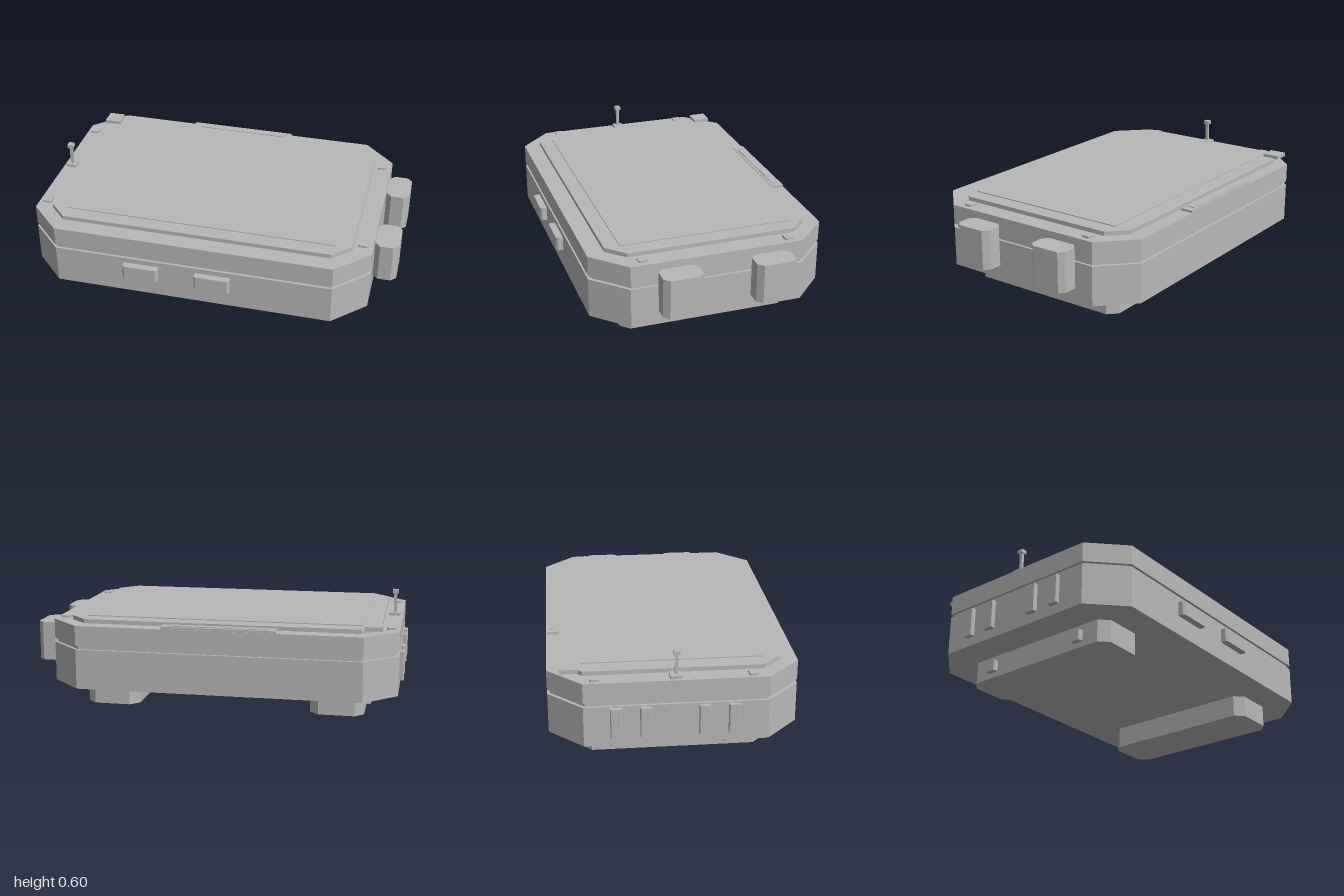
import * as THREE from 'three';

const grey = new THREE.MeshStandardMaterial({ color: 0xb8b8b8 });
grey.name = 'plain grey';

// Upright block with its four vertical corners cut by c
function slab(group, name, [x0, x1], [y0, y1], [z0, z1], c = 0) {
  let geo;
  if (c > 0) {
    const pts = [
      [x0 + c, z1], [x1 - c, z1], [x1, z1 - c], [x1, z0 + c],
      [x1 - c, z0], [x0 + c, z0], [x0, z0 + c], [x0, z1 - c],
    ].map(([x, z]) => new THREE.Vector2(x, -z));
    geo = new THREE.ExtrudeGeometry(new THREE.Shape(pts), { depth: y1 - y0, bevelEnabled: false });
    geo.rotateX(-Math.PI / 2).translate(0, y0, 0);
  } else {
    geo = new THREE.BoxGeometry(x1 - x0, y1 - y0, z1 - z0);
    geo.translate((x0 + x1) / 2, (y0 + y1) / 2, (z0 + z1) / 2);
  }
  const mesh = new THREE.Mesh(geo, grey);
  mesh.name = name;
  group.add(mesh);
}

const around = (c, size) => [c - size / 2, c + size / 2];

export function createModel() {
  const g = new THREE.Group();
  g.name = 'deviceCase';

  // Main case: two shells with a recessed seam
  slab(g, 'lowerShell', [-0.977, 0.872], [0.12, 0.332], [-0.648, 0.613], 0.172);
  slab(g, 'seam', [-0.963, 0.858], [0.332, 0.353], [-0.634, 0.599], 0.168);
  slab(g, 'upperShell', [-0.977, 0.872], [0.353, 0.459], [-0.648, 0.613], 0.172);

  // Raised top
  slab(g, 'topPanel', [-0.882, 0.77], [0.459, 0.481], [-0.567, 0.521], 0.095);
  slab(g, 'screen', [-0.79, 0.685], [0.481, 0.486], [-0.478, 0.442]);

  // Bar along the back edge
  slab(g, 'backBar', [-0.36, 0.24], [0.459, 0.472], [-0.645, -0.578]);
  slab(g, 'backBarInset', [-0.32, 0.20], [0.472, 0.476], [-0.632, -0.594]);

  // Corner block and screw caps
  slab(g, 'cornerBlock', [-0.895, -0.802], [0.478, 0.499], [-0.585, -0.492]);
  for (const x of [-0.933, 0.82])
    for (const z of [-0.415, 0.365])
      slab(g, 'screwCap', around(x, 0.05), [0.459, 0.47], around(z, 0.05), 0.007);

  // Antenna
  slab(g, 'antennaBase', around(-0.933, 0.06), [0.459, 0.475], around(-0.02, 0.06), 0.004);
  slab(g, 'antennaStem', around(-0.933, 0.016), [0.475, 0.582], around(-0.016, 0.016));
  slab(g, 'antennaCap', around(-0.933, 0.032), [0.58, 0.6], around(-0.016, 0.032));

  // Front buttons
  for (const x of [-0.325, 0.067])
    slab(g, 'frontButton', around(x, 0.192), [0.227, 0.303], [0.58, 0.65], 0.01);

  // Side pods
  for (const z of [0.202, -0.289])
    slab(g, 'sidePod', [0.872, 1], [0.208, 0.421], around(z, 0.21), 0.029);

  // Upright ribs on the other side
  for (const z of [-0.317, -0.17, 0.121, 0.268])
    slab(g, 'sideRib', [-1, -0.96], [0.17, 0.325], around(z, 0.056), 0.004);

  // Feet with outward latches
  for (const [x0, x1, out] of [[-0.803, -0.517, [-0.83, -0.79]], [0.412, 0.7, [0.69, 0.711]]]) {
    slab(g, 'foot', [x0, x1], [0, 0.12], [-0.48, 0.444], 0.048);
    for (const z of [0.274, -0.309])
      slab(g, 'footLatch', out, [0.03, 0.088], around(z, 0.058), 0.007);
  }
  return g;
}
